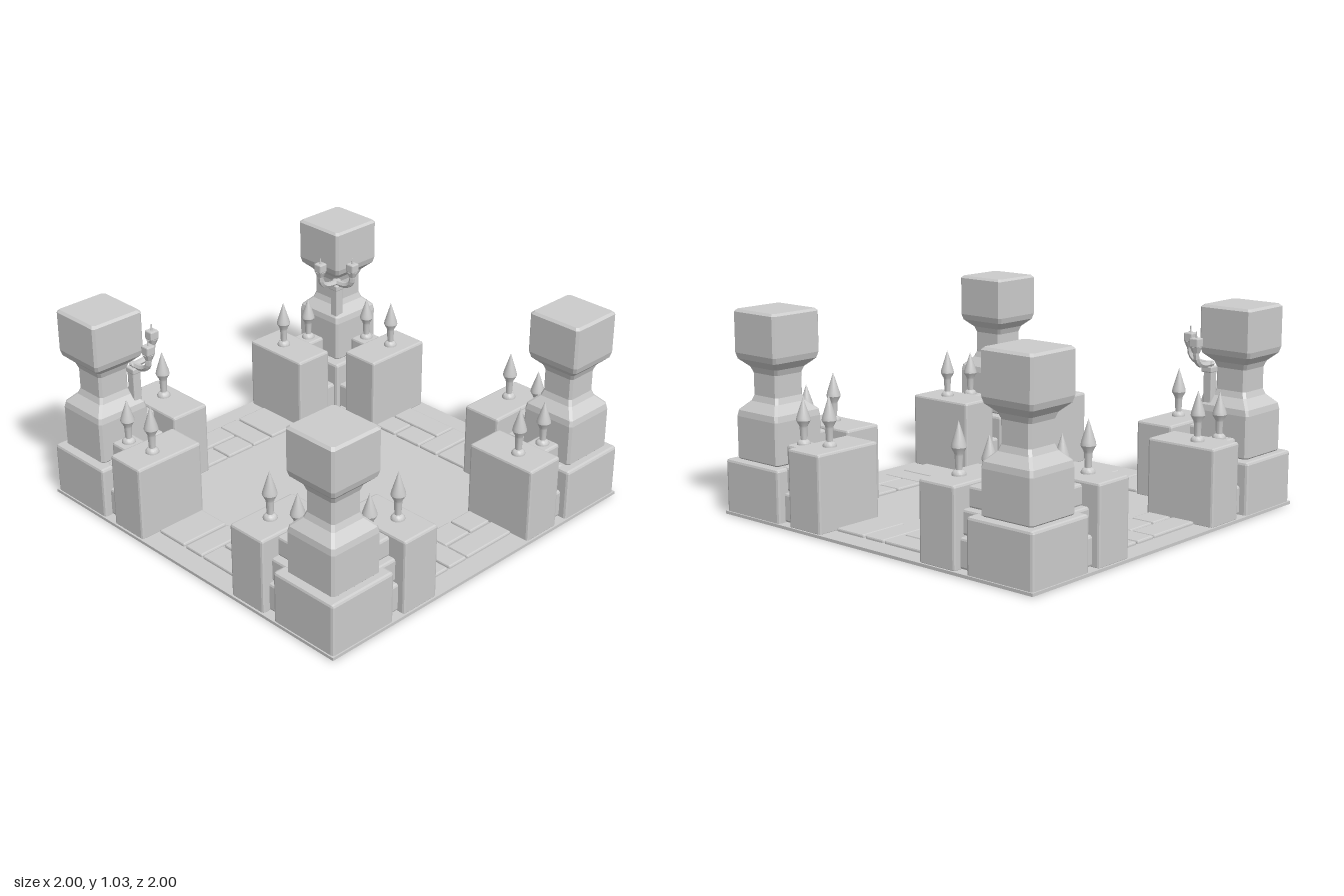
import * as THREE from 'three';
import { toCreasedNormals } from 'three/addons/utils/BufferGeometryUtils.js';
import { RoundedBoxGeometry } from 'three/addons/geometries/RoundedBoxGeometry.js';

const flat = new THREE.MeshStandardMaterial({ color: 0xcccccc, flatShading: true });
const smooth = new THREE.MeshStandardMaterial({ color: 0xcccccc });

function add(parent, name, geometry, material = flat) {
  const mesh = new THREE.Mesh(geometry, material);
  mesh.name = name;
  parent.add(mesh);
  return mesh;
}

// Chamfered stone block given by its limits on each axis
function block(parent, name, [x0, x1], [y0, y1], [z0, z1], bevel = 0.012) {
  const geometry = new RoundedBoxGeometry(x1 - x0, y1 - y0, z1 - z0, 1, bevel);
  return add(parent, name, geometry.translate((x0 + x1) / 2, (y0 + y1) / 2, (z0 + z1) / 2));
}

const points = (list) => list.map(([r, y]) => new THREE.Vector2(r, y));

// Lathe whose eight-sided section is squared off to a chamfered square
function squareLathe(profile, bevel) {
  const geometry = new THREE.LatheGeometry(points(profile), 8, Math.PI / 8);
  const p = geometry.attributes.position;
  for (let i = 0; i < p.count; i++) {
    const x = p.getX(i), z = p.getZ(i), r = Math.hypot(x, z);
    if (r < 1e-4) continue;
    const long = Math.abs(x) > Math.abs(z);
    p.setX(i, Math.sign(x) * (long ? r : r - bevel));
    p.setZ(i, Math.sign(z) * (long ? r - bevel : r));
  }
  return geometry;
}

const pillarProfile = [
  [0, 0.28], [0.136, 0.28], [0.148, 0.292], [0.148, 0.5], [0.142, 0.53], [0.098, 0.575],
  [0.087, 0.605], [0.087, 0.715], [0.098, 0.745], [0.14, 0.785], [0.148, 0.815],
  [0.148, 1.016], [0.136, 1.028], [0, 1.028],
];

// Spiked finial: round foot, stem, flared collar and pointed tip
const finialProfile = [
  [0.034, -0.01], [0.034, 0.008], [0.026, 0.02], [0.016, 0.026], [0.019, 0.09],
  [0.021, 0.1], [0.036, 0.128], [0.033, 0.145], [0, 0.25],
];

function finial(parent, x, y, z, height) {
  const geometry = toCreasedNormals(new THREE.LatheGeometry(points(finialProfile), 16), 0.6);
  const mesh = add(parent, 'finial', geometry, smooth);
  mesh.position.set(x, y, z);
  mesh.scale.y = height / 0.25;
}

// Two-armed candle holder on a bracket; arms run along +x and +z
function candelabra() {
  const group = new THREE.Group();
  group.name = 'candelabra';
  block(group, 'bracketPost', [-0.025, 0.022], [0.5, 0.7], [-0.025, 0.022], 0.005);
  block(group, 'bracketCap', [-0.03, 0.03], [0.69, 0.72], [-0.03, 0.03], 0.005);
  const path = new THREE.CatmullRomCurve3([
    [-0.02, 0.73], [0.045, 0.73], [0.09, 0.742], [0.115, 0.77], [0.12, 0.81],
  ].map(([x, y]) => new THREE.Vector3(x, y, 0)));
  for (const turn of [0, -Math.PI / 2]) {
    const arm = new THREE.Group();
    arm.name = 'candleArm';
    arm.rotation.y = turn;
    group.add(arm);
    add(arm, 'curvedArm', new THREE.TubeGeometry(path, 10, 0.016, 6));
    add(arm, 'candleCup', new THREE.CylinderGeometry(0.031, 0.018, 0.03, 8).translate(0.12, 0.815, 0));
    block(arm, 'candle', [0.095, 0.145], [0.828, 0.875], [-0.025, 0.025], 0.006);
    add(arm, 'wick', new THREE.CylinderGeometry(0.003, 0.005, 0.035, 6).translate(0.12, 0.89, 0));
  }
  return group;
}

export function createModel() {
  const model = new THREE.Group();
  model.name = 'courtyard';

  // Ground slab
  add(model, 'floor', new THREE.BoxGeometry(2, 0.015, 2).translate(0, 0.0125, 0));

  // Paving between the walls, repeated around the four sides
  const tiles = [
    [-0.32, -0.003, -0.89, -0.763], [-0.32, -0.182, -0.752, -0.62], [-0.172, -0.003, -0.752, -0.62],
    [0.003, 0.122, -0.89, -0.62], [0.134, 0.317, -0.89, -0.62],
    [-0.605, -0.33, -0.89, -0.763], [-0.605, -0.33, -0.752, -0.62], [0.328, 0.605, -0.89, -0.62],
  ];
  for (let side = 0; side < 4; side++) {
    const paving = new THREE.Group();
    paving.name = 'paving';
    paving.rotation.y = side * Math.PI / 2;
    for (const [x0, x1, z0, z1] of tiles) block(paving, 'pavingStone', [x0, x1], [0.008, 0.036], [z0, z1], 0.008);
    model.add(paving);
  }

  for (const sx of [-1, 1]) for (const sz of [-1, 1]) {
    const corner = new THREE.Group();
    corner.name = 'corner';
    model.add(corner);
    const span = (s, a, b) => (s > 0 ? [a, b] : [-b, -a]);

    // Plinth and waisted pillar
    block(corner, 'plinth', span(sx, 0.612, 0.993), [0.002, 0.285], span(sz, 0.612, 0.993), 0.014);
    add(corner, 'pillar', squareLathe(pillarProfile, 0.012)).position.set(sx * 0.806, 0, sz * 0.806);

    // Wall wings: one along x, one along z
    for (const swap of [false, true]) {
      const wing = (name, along, y, across) => swap
        ? block(corner, name, span(sx, ...across), y, span(sz, ...along))
        : block(corner, name, span(sx, ...along), y, span(sz, ...across));
      wing('wallPost', [0.325, 0.54], [0.01, 0.405], [0.602, 0.99]);
      wing('lowerWallStone', [0.52, 0.64], [0.02, 0.165], [0.635, 0.95]);
      wing('middleWallStone', [0.52, 0.655], [0.17, 0.29], [0.7, 0.93]);
      wing('upperWallStone', [0.52, 0.66], [0.285, 0.388], [0.765, 0.89]);
      for (const [a, y, h] of [[0.42, 0.405, 0.25], [0.603, 0.388, 0.232]]) {
        if (swap) finial(corner, sx * 0.828, y, sz * a, h);
        else finial(corner, sx * a, y, sz * 0.828, h);
      }
    }

    // Candle holders on the two back pillars
    if (sz < 0) {
      const holder = candelabra();
      holder.position.set(sx * 0.695, 0, -0.7);
      holder.rotation.y = sx > 0 ? -Math.PI / 2 : 0;
      corner.add(holder);
    }
  }
  return model;
}
